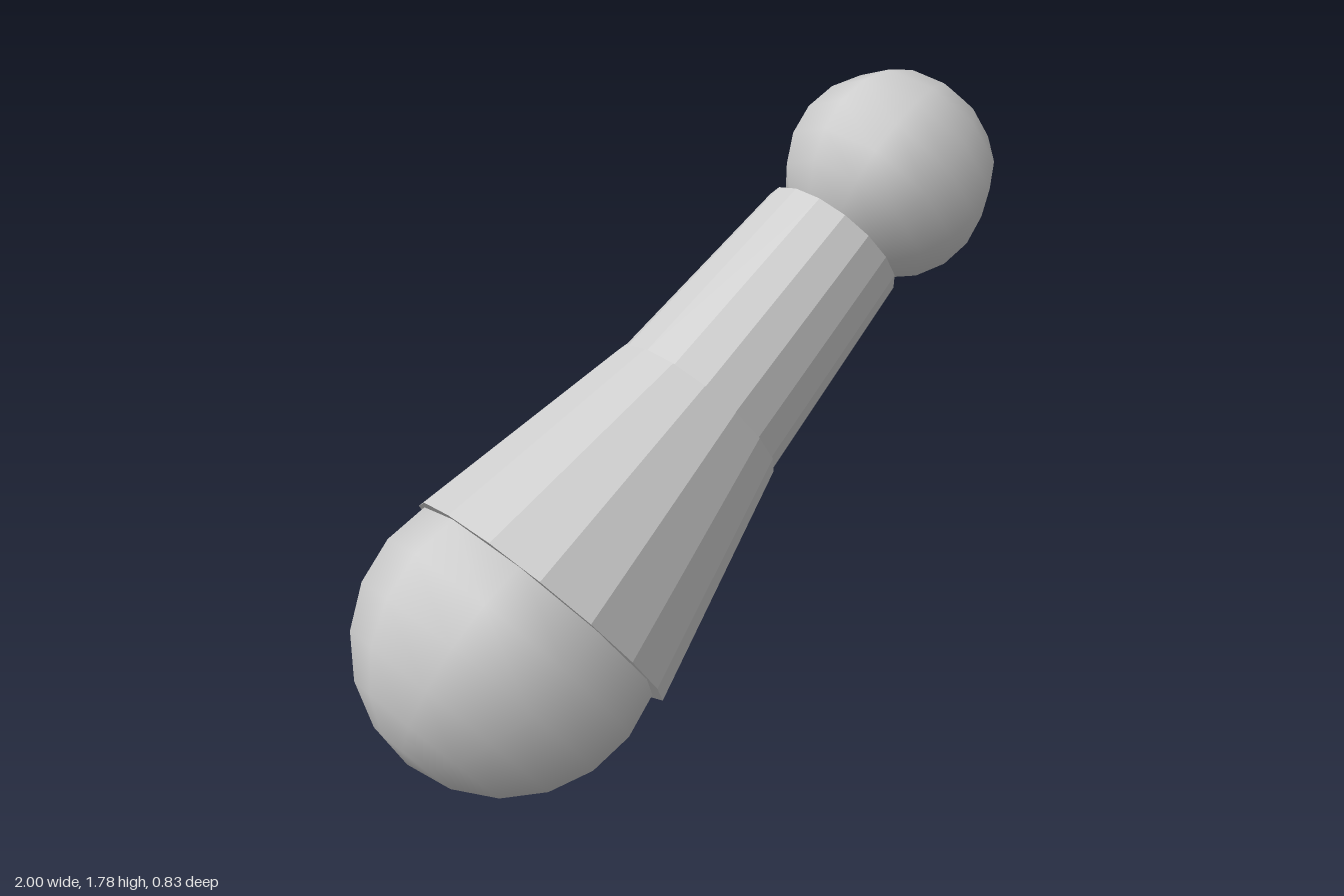
import * as THREE from 'three';

export function createModel() {
  const model = new THREE.Group();
  model.name = 'limb';
  const paleGrey = new THREE.MeshStandardMaterial({ color: 0xcccccc });
  paleGrey.name = 'paleGrey';
  const up = new THREE.Vector3(0, 1, 0);
  const axis = new THREE.Vector3(0.768, 0.64, 0.02).normalize();

  // Joint balls: smooth, low-poly, with poles along the limb
  function ball(name, centre, radius) {
    const mesh = new THREE.Mesh(new THREE.SphereGeometry(radius, 10, 10), paleGrey);
    mesh.name = name;
    mesh.position.set(...centre);
    mesh.quaternion.setFromUnitVectors(up, axis);
    model.add(mesh);
  }

  // Tapered segments: faceted, capped, running from a to b
  function segment(name, a, b, radiusA, radiusB) {
    const start = new THREE.Vector3(...a);
    const end = new THREE.Vector3(...b);
    let geometry = new THREE.CylinderGeometry(radiusB, radiusA, start.distanceTo(end), 16).toNonIndexed();
    geometry.computeVertexNormals();
    const mesh = new THREE.Mesh(geometry, paleGrey);
    mesh.name = name;
    mesh.position.copy(start).lerp(end, 0.5);
    mesh.quaternion.setFromUnitVectors(up, end.sub(start).normalize());
    model.add(mesh);
  }

  ball('largeJoint', [-0.594, 0.407, 0], 0.41);
  segment('lowerSegment', [-0.495, 0.482, 0], [0.022, 0.912, 0.012], 0.413, 0.27);
  segment('upperSegment', [0.022, 0.912, 0.012], [0.498, 1.32, 0.03], 0.264, 0.218);
  ball('smallJoint', [0.7, 1.484, 0.042], 0.299);

  return model;
}
